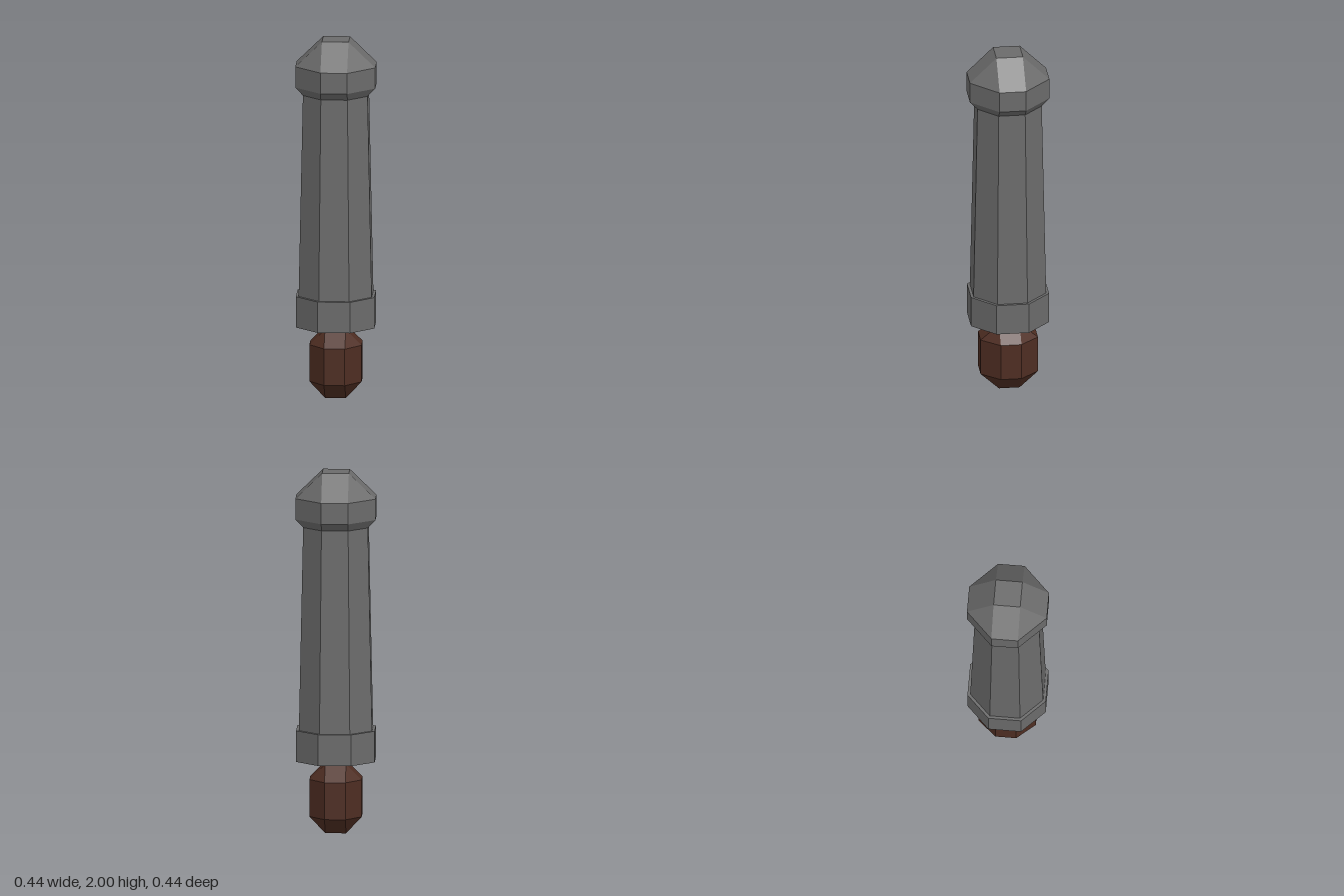
import * as THREE from 'three';

const metal = new THREE.MeshStandardMaterial({ color: 0x6b6b6b });
metal.name = 'grey metal';
const leather = new THREE.MeshStandardMaterial({ color: 0x4e2d22 });
leather.name = 'dark brown';

// Octagonal ring: half widths hx and hz, with corners cut back to c.
// When hx = hz = c the ring collapses to a square.
function ring([y, hx, hz, c]) {
  return [[c, hz], [hx, c], [hx, -c], [c, -hz], [-c, -hz], [-hx, -c], [-hx, c], [-c, hz]]
    .map(([x, z]) => new THREE.Vector3(x, y, z));
}

// Faceted closed solid through rings listed from bottom to top
function loft(name, material, sections) {
  const rings = sections.map(ring);
  const positions = [];
  const tri = (a, b, c) => {
    const area = b.clone().sub(a).cross(c.clone().sub(a)).length();
    if (area > 1e-8) for (const p of [a, b, c]) positions.push(p.x, p.y, p.z);
  };
  for (let r = 0; r < rings.length - 1; r++) {
    const lower = rings[r], upper = rings[r + 1];
    for (let i = 0; i < 8; i++) {
      const j = (i + 1) % 8;
      tri(lower[i], lower[j], upper[j]);
      tri(lower[i], upper[j], upper[i]);
    }
  }
  const bottom = rings[0], top = rings[rings.length - 1];
  for (let i = 1; i < 7; i++) {
    tri(bottom[0], bottom[i + 1], bottom[i]);
    tri(top[0], top[i], top[i + 1]);
  }
  const geometry = new THREE.BufferGeometry();
  geometry.setAttribute('position', new THREE.Float32BufferAttribute(positions, 3));
  geometry.computeVertexNormals();
  const mesh = new THREE.Mesh(geometry, material);
  mesh.name = name;
  return mesh;
}

export function createModel() {
  const model = new THREE.Group();
  model.name = 'handle';
  model.add(
    // Chamfered block floating just below the collar
    loft('lowerKnob', leather, [
      [0, 0.057, 0.057, 0.057], [0.092, 0.143, 0.158, 0.057],
      [0.297, 0.143, 0.158, 0.057], [0.383, 0.057, 0.057, 0.057],
    ]),
    // Wide band at the foot of the shaft
    loft('collar', metal, [[0.4, 0.215, 0.215, 0.09], [0.573, 0.215, 0.215, 0.09]]),
    // Tapered shaft
    loft('shaft', metal, [[0.573, 0.2, 0.2, 0.083], [1.7, 0.177, 0.177, 0.073]]),
    // Domed head with a chamfered underside
    loft('head', metal, [
      [1.698, 0.177, 0.177, 0.073], [1.742, 0.219, 0.219, 0.073],
      [1.858, 0.219, 0.219, 0.073], [2, 0.073, 0.073, 0.073],
    ]),
  );
  return model;
}
